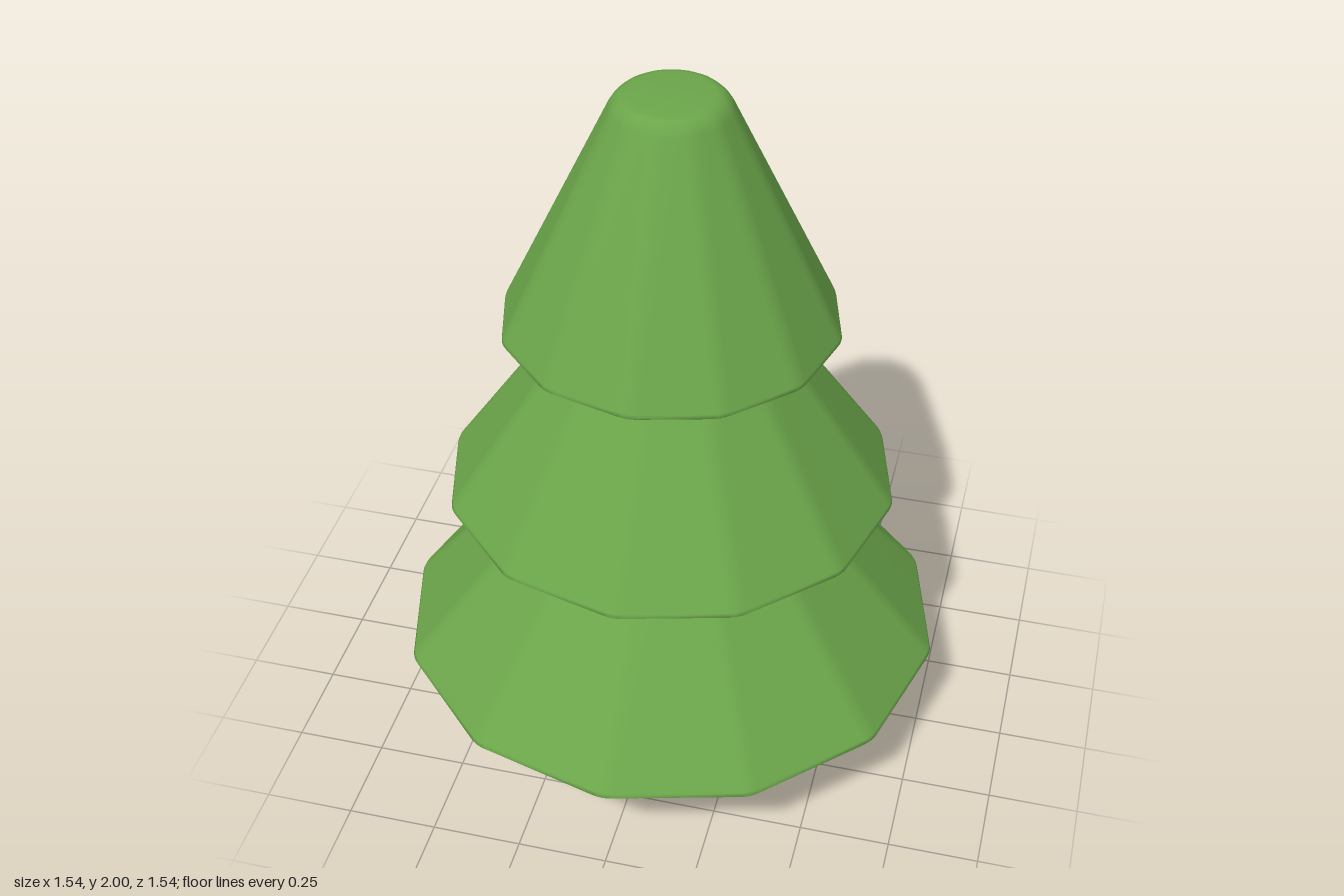
import * as THREE from 'three';

const SIDES = 12;
const ARC = 4; // segments in each rounded upright edge

// Lofts a 12-sided ring with softened corners along a bottom-to-top [radius, y] profile.
function loft(profile, corner) {
  const positions = [], indices = [];
  const count = SIDES * (ARC + 1);
  const half = Math.PI / SIDES;
  for (const [radius, y] of profile) {
    const r = Math.min(corner, radius * 0.8);
    for (let k = 0; k < SIDES; k++) {
      const mid = k * 2 * half;
      for (let s = 0; s <= ARC; s++) {
        const a = mid - half + (2 * half * s) / ARC;
        positions.push(
          Math.sin(mid) * (radius - r) + Math.sin(a) * r,
          y,
          Math.cos(mid) * (radius - r) + Math.cos(a) * r
        );
      }
    }
  }
  for (let j = 0; j < profile.length - 1; j++) {
    for (let i = 0; i < count; i++) {
      const a = j * count + i, b = j * count + (i + 1) % count;
      indices.push(a, b, b + count, a, b + count, a + count);
    }
  }
  const geometry = new THREE.BufferGeometry();
  geometry.setAttribute('position', new THREE.Float32BufferAttribute(positions, 3));
  geometry.setIndex(indices);
  geometry.computeVertexNormals();
  return geometry;
}

// Closed profile of a truncated cone with small rounded rims.
function tierProfile(bottomR, bottomY, topR, topY) {
  const slope = (bottomR - topR) / (topY - bottomY);
  const side = (y) => bottomR - slope * (y - bottomY - 0.014);
  return [
    [0, bottomY],
    [bottomR - 0.024, bottomY],
    [bottomR - 0.007, bottomY + 0.003],
    [bottomR, bottomY + 0.009],
    [side(bottomY + 0.02), bottomY + 0.02],
    [side(topY - 0.04), topY - 0.04],
    [side(topY - 0.02) - 0.003, topY - 0.02],
    [side(topY) - 0.01, topY - 0.006],
    [side(topY) - 0.03, topY],
    [0, topY]
  ];
}

export function createModel() {
  const model = new THREE.Group();
  model.name = 'pineTree';
  const foliage = new THREE.MeshStandardMaterial({ color: 0x6ba54a });
  const bark = new THREE.MeshStandardMaterial({ color: 0x876750 });

  const add = (name, geometry, material) => {
    const mesh = new THREE.Mesh(geometry, material);
    mesh.name = name;
    model.add(mesh);
  };

  // Trunk with a rounded foot
  add('trunk', loft([
    [0, 0], [0.115, 0], [0.129, 0.005], [0.136, 0.014], [0.138, 0.026], [0.138, 0.4], [0, 0.4]
  ], 0.1), bark);

  // Stacked foliage tiers: bottom radius, bottom height, top radius, top height
  const tiers = [
    ['lowerFoliage', 0.77, 0.27, 0.14, 1.01],
    ['middleFoliage', 0.625, 0.795, 0.14, 1.5],
    ['upperFoliage', 0.458, 1.32, 0.135, 2]
  ];
  for (const [name, ...dims] of tiers) add(name, loft(tierProfile(...dims), 0.1), foliage);

  return model;
}
